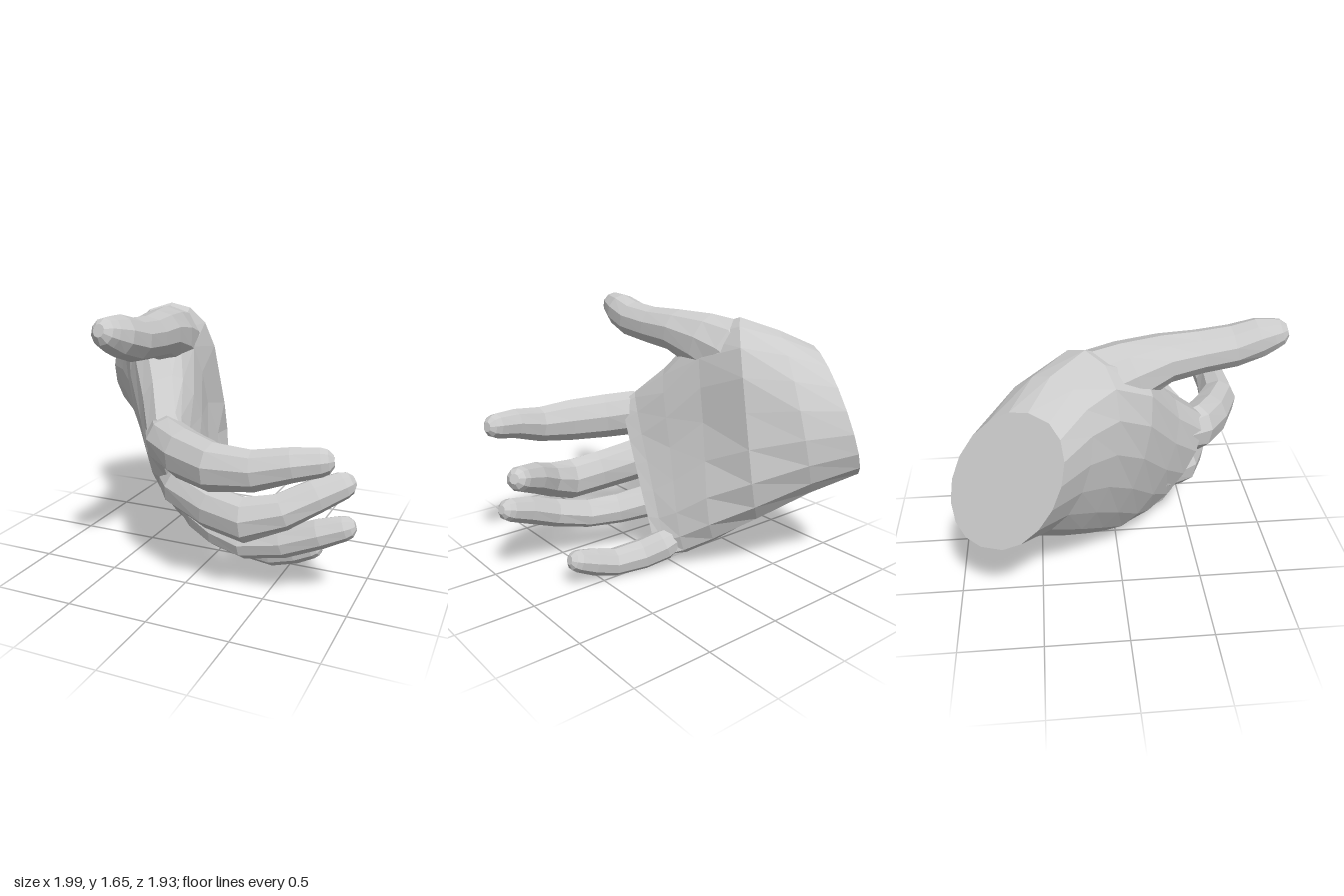
import * as THREE from 'three';

const V = (x, y, z) => new THREE.Vector3(x, y, z);
const material = new THREE.MeshStandardMaterial({ color: 0xcccccc, flatShading: true });

// Skin a list of rings (arrays of points) and close both ends.
function loft(name, rings) {
  const n = rings[0].length, pos = [], idx = [];
  rings.forEach(r => r.forEach(p => pos.push(p.x, p.y, p.z)));
  const last = (rings.length - 1) * n;
  for (const r of [rings[0], rings[rings.length - 1]]) {
    const c = V(0, 0, 0);
    r.forEach(p => c.addScaledVector(p, 1 / n));
    pos.push(c.x, c.y, c.z);
  }
  const start = last + n, end = start + 1;
  for (let j = 0; j < n; j++) {
    const k = (j + 1) % n;
    for (let i = 0; i < last; i += n) {
      idx.push(i + j, i + n + j, i + k, i + k, i + n + j, i + n + k);
    }
    idx.push(start, j, k, end, last + k, last + j);
  }
  const g = new THREE.BufferGeometry();
  g.setAttribute('position', new THREE.Float32BufferAttribute(pos, 3));
  g.setIndex(idx);
  g.computeVertexNormals();
  const mesh = new THREE.Mesh(g, material);
  mesh.name = name;
  return mesh;
}

// Palm section from its thumb-side edge to its little-finger edge, with its depth
// behind and in front of that line; cup hollows the inside between the two pads.
function palmRing([top, bottom, dir, back, front, cup]) {
  const t = V(...top), b = V(...bottom);
  const c = t.clone().add(b).multiplyScalar(0.5);
  const u = t.clone().sub(b).multiplyScalar(0.5);
  const v = V(dir[0], 0, dir[1]).normalize();
  const ring = [];
  for (let j = 0; j < 18; j++) {
    const a = j / 18 * Math.PI * 2, s = Math.cos(a), w = Math.sin(a);
    const side = w > 0
      ? w * (front - cup * Math.cos(3 * (s - 0.1)))
      : -back * Math.pow(-w, 0.85);
    ring.push(c.clone().addScaledVector(u, s).addScaledVector(v, side));
  }
  return ring;
}

// Digit along points [x, y, z, height radius, side radius], ending in a rounded tip.
function digit(name, pts, sides = 9) {
  const p = pts.map(q => V(q[0], q[1], q[2]));
  const rings = [];
  const addRing = (c, t, ry, rs) => {
    const u = V(0, 1, 0).addScaledVector(t, -t.y).normalize();
    const v = u.clone().cross(t);
    rings.push(Array.from({ length: sides }, (_, j) => {
      const a = j / sides * Math.PI * 2;
      return c.clone().addScaledVector(u, ry * Math.cos(a)).addScaledVector(v, rs * Math.sin(a));
    }));
  };
  let t;
  p.forEach((c, i) => {
    t = p[Math.min(i + 1, p.length - 1)].clone().sub(p[Math.max(i - 1, 0)]).normalize();
    addRing(c, t, pts[i][3], pts[i][4]);
  });
  const [, , , ry, rs] = pts[pts.length - 1];
  for (const [d, k] of [[0.5, 0.82], [0.85, 0.4]]) {
    addRing(p[p.length - 1].clone().addScaledVector(t, ry * d), t, ry * k, rs * k);
  }
  return loft(name, rings);
}

export function createModel() {
  const hand = new THREE.Group();
  hand.name = 'hand';

  // Wrist cut to knuckle row
  hand.add(loft('palm', [
    [[-0.76, 1.43, -0.51], [-0.86, 0.66, -0.81], [0.52, -0.855], 0.325, 0.31, 0],
    [[-0.57, 1.53, -0.39], [-0.6, 0.55, -0.67], [0.6, -0.8], 0.385, 0.31, 0],
    [[-0.42, 1.6, -0.2], [-0.38, 0.36, -0.46], [0.72, -0.69], 0.38, 0.31, 0.04],
    [[-0.34, 1.5, 0.06], [-0.18, 0.2, -0.29], [0.8, -0.6], 0.34, 0.21, 0.06],
    [[-0.19, 1.23, 0.26], [-0.04, 0.1, -0.16], [0.8, -0.6], 0.32, 0.13, 0.04],
    [[-0.08, 1.05, 0.44], [0.06, 0.07, -0.11], [0.78, -0.62], 0.31, 0.06, 0.01],
    [[-0.01, 0.97, 0.5], [0.12, 0.09, -0.06], [0.76, -0.65], 0.24, 0.02, 0],
  ].map(palmRing)));

  // Thumb with its fleshy base
  hand.add(digit('thumb', [
    [-0.42, 1.28, -0.36, 0.15, 0.15],
    [-0.41, 1.36, -0.14, 0.23, 0.2],
    [-0.35, 1.42, 0.04, 0.19, 0.18],
    [-0.29, 1.47, 0.25, 0.14, 0.15],
    [-0.25, 1.48, 0.45, 0.125, 0.13],
    [-0.23, 1.5, 0.65, 0.122, 0.125],
    [-0.23, 1.545, 0.8, 0.115, 0.11],
    [-0.24, 1.57, 0.88, 0.09, 0.09],
  ], 10));

  // Four fingers
  hand.add(digit('indexFinger', [
    [-0.26, 0.93, 0.28, 0.1, 0.1],
    [-0.11, 0.89, 0.49, 0.15, 0.13],
    [0.05, 0.87, 0.6, 0.15, 0.13],
    [0.28, 0.855, 0.71, 0.14, 0.12],
    [0.52, 0.87, 0.715, 0.115, 0.105],
    [0.72, 0.92, 0.68, 0.095, 0.095],
    [0.86, 0.94, 0.64, 0.08, 0.075],
  ]));
  hand.add(digit('middleFinger', [
    [-0.23, 0.63, 0.24, 0.1, 0.1],
    [-0.06, 0.59, 0.4, 0.14, 0.13],
    [0.18, 0.53, 0.5, 0.135, 0.115],
    [0.4, 0.505, 0.545, 0.135, 0.115],
    [0.6, 0.565, 0.485, 0.11, 0.105],
    [0.76, 0.645, 0.38, 0.1, 0.1],
    [0.895, 0.7, 0.29, 0.08, 0.08],
  ]));
  hand.add(digit('ringFinger', [
    [-0.16, 0.38, 0.11, 0.09, 0.09],
    [0.0, 0.345, 0.23, 0.11, 0.115],
    [0.16, 0.305, 0.32, 0.1, 0.11],
    [0.36, 0.295, 0.4, 0.092, 0.11],
    [0.6, 0.355, 0.425, 0.09, 0.095],
    [0.8, 0.435, 0.405, 0.088, 0.088],
    [0.935, 0.48, 0.375, 0.073, 0.073],
  ]));
  hand.add(digit('littleFinger', [
    [-0.06, 0.2, -0.09, 0.07, 0.07],
    [0.07, 0.15, -0.06, 0.1, 0.1],
    [0.2, 0.1, 0, 0.098, 0.1],
    [0.4, 0.088, 0.04, 0.088, 0.09],
    [0.55, 0.135, 0.05, 0.085, 0.087],
    [0.66, 0.175, 0.05, 0.07, 0.072],
  ]));

  return hand;
}
